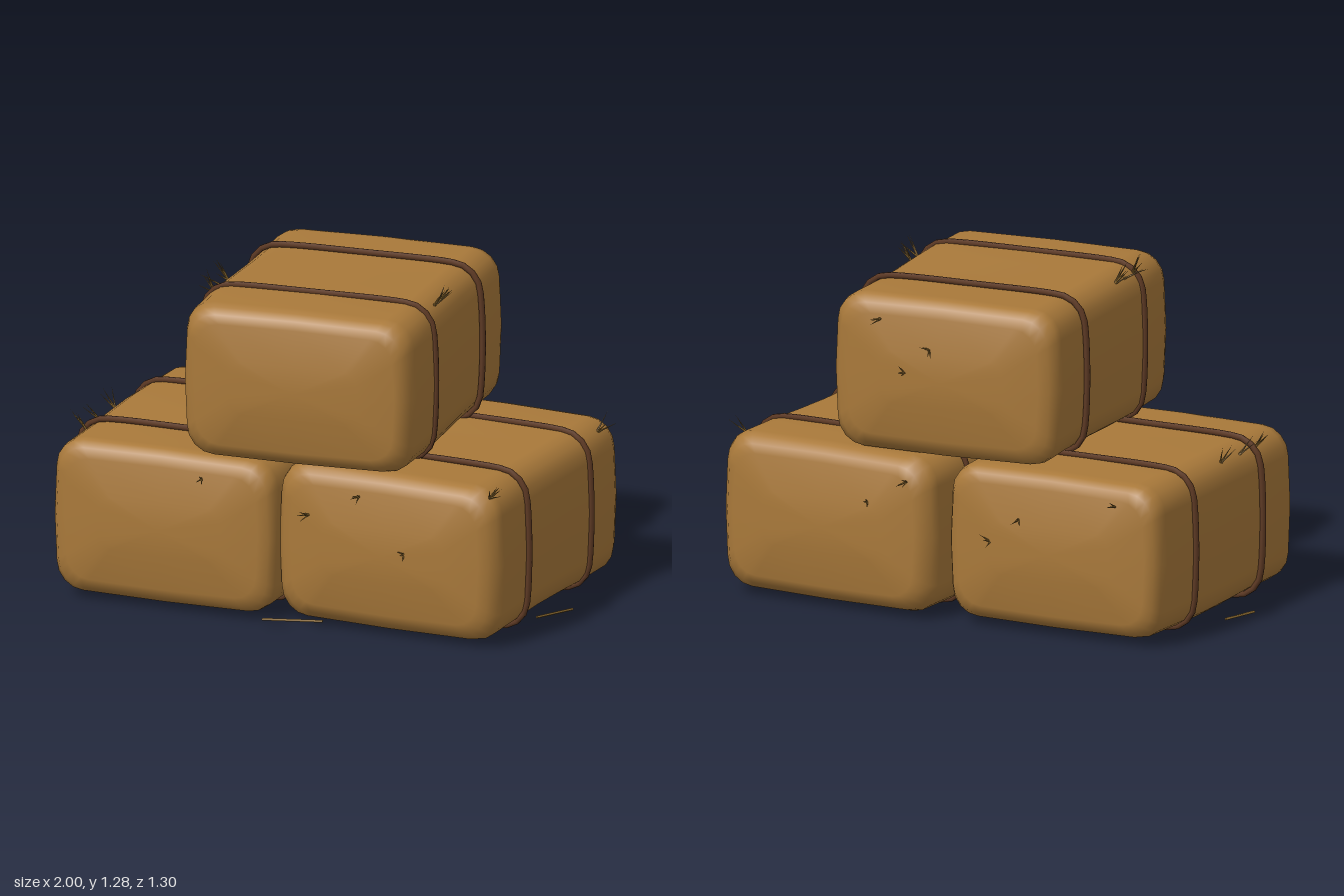
import * as THREE from 'three';

const hay = new THREE.MeshStandardMaterial({ color: 0xa9793a });
const twine = new THREE.MeshStandardMaterial({ color: 0x5c3822 });
const straw = new THREE.MeshStandardMaterial({ color: 0x8c6a30 });

let seed = 7;
const rand = () => (seed = (seed * 16807) % 2147483647) / 2147483647;

// Rounded rectangle, counter-clockwise, with sides that swell slightly
function section(hw, hh, r) {
  const pts = [];
  for (let q = 0; q < 4; q++) {
    const sx = q === 0 || q === 3 ? 1 : -1, sy = q < 2 ? 1 : -1;
    for (let k = 0; k <= 4; k++) {
      const a = (q + k / 4) * Math.PI / 2;
      pts.push(new THREE.Vector2(sx * (hw - r) + r * Math.cos(a), sy * (hh - r) + r * Math.sin(a)));
    }
    const m = (q + 1) * Math.PI / 2;
    pts.push(new THREE.Vector2(Math.cos(m) * (hw + 0.008), Math.sin(m) * (hh + 0.004)));
  }
  return pts;
}

// Bale body: sections lofted along z, closed by bulging ends
function baleGeometry(hw, hh, hl, phase) {
  const insets = [0.2, 0.065, 0.03, 0.007, 0];
  const depths = [0.012, 0.03, 0.045, 0.075, 0.11];
  const front = insets.map((inset, i) => ({ z: hl - depths[i], inset }));
  const middle = [-0.27, -0.1, 0.1, 0.27].map(z => ({ z, inset: 0 }));
  const rings = [...front.map(({ z, inset }) => ({ z: -z, inset })), ...middle, ...front.reverse()];
  const pos = [], idx = [];
  let n = 0;
  rings.forEach(({ z, inset }, i) => {
    const pts = section(hw - inset, hh - inset, 0.11 - inset * 0.3);
    n = pts.length;
    const wave = 1 + 0.01 * Math.sin(i * 1.3 + phase);
    pts.forEach(p => pos.push(p.x * wave, p.y * wave, z));
    if (i === 0) return;
    for (let j = 0; j < n; j++) {
      const a = (i - 1) * n + j, b = (i - 1) * n + (j + 1) % n;
      idx.push(a, b, a + n, b, b + n, a + n);
    }
  });
  const back = rings.length * n, last = back - n;
  pos.push(0, 0, -hl, 0, 0, hl);
  for (let j = 0; j < n; j++) {
    const k = (j + 1) % n;
    idx.push(back, k, j, back + 1, last + j, last + k);
  }
  const g = new THREE.BufferGeometry();
  g.setAttribute('position', new THREE.Float32BufferAttribute(pos, 3));
  g.setIndex(idx);
  g.computeVertexNormals();
  return g;
}

// Small fan of thin pointed blades around a direction
const up = new THREE.Vector3(0, 1, 0);
const blade = new THREE.ConeGeometry(0.0045, 1, 4).translate(0, 0.5, 0);
function makeTuft(x, y, z, dir, length) {
  const tuft = new THREE.Group();
  tuft.name = 'strawTuft';
  const count = 3 + Math.floor(rand() * 4);
  for (let i = 0; i < count; i++) {
    const spread = new THREE.Vector3(rand() - 0.5, rand() - 0.5, rand() - 0.5);
    const d = dir.clone().normalize().addScaledVector(spread, 0.9).normalize();
    const m = new THREE.Mesh(blade, straw);
    m.name = 'strawBlade';
    m.quaternion.setFromUnitVectors(up, d);
    m.scale.y = length * (0.75 + 0.5 * rand());
    tuft.add(m);
  }
  tuft.position.set(x, y, z);
  return tuft;
}

// Bale with two twine loops and straw tufts, placed in the bale's own frame:
// leftZ / rightZ lie along the upper long edges, frontX / backX across the ends
function makeBale({ name, at, turn, half, phase, leftZ, rightZ, frontX, backX }) {
  const [hw, hh, hl] = half;
  const bale = new THREE.Group();
  bale.name = name;
  const body = new THREE.Mesh(baleGeometry(hw, hh, hl, phase), hay);
  body.name = 'baleBody';
  bale.add(body);
  for (const z of [-0.265, 0.27]) {
    const pts = section(hw + 0.007, hh + 0.007, 0.115).map(p => new THREE.Vector3(p.x, p.y, z));
    const loop = new THREE.CatmullRomCurve3(pts, true);
    const mesh = new THREE.Mesh(new THREE.TubeGeometry(loop, 64, 0.012, 6, true), twine);
    mesh.name = 'twineLoop';
    bale.add(mesh);
  }
  const edge = (side, zs) => zs.forEach(z =>
    bale.add(makeTuft(side * (hw - 0.035), hh - 0.035, z, new THREE.Vector3(side * 0.7, 0.9, 0), 0.08)));
  edge(1, leftZ);
  edge(-1, rightZ);
  const end = (side, xs) => xs.forEach((x, i) =>
    bale.add(makeTuft(x, 0.22 - (i % 3) * 0.1, side * (hl - 0.02), new THREE.Vector3(0, 0.15, side), 0.055)));
  end(1, frontX);
  end(-1, backX);
  bale.position.set(...at);
  bale.rotation.y = turn;
  return bale;
}

// Loose stalk lying on the ground
function makeStalk(x, z, length, angle) {
  const m = new THREE.Mesh(new THREE.CylinderGeometry(0.005, 0.005, length, 5), straw);
  m.name = 'looseStalk';
  m.position.set(x, 0.033, z);
  m.quaternion.setFromUnitVectors(up, new THREE.Vector3(Math.cos(angle), 0, -Math.sin(angle)));
  return m;
}

export function createModel() {
  const model = new THREE.Group();
  model.name = 'hayBaleStack';
  model.add(
    makeBale({
      name: 'lowerRightBale', at: [-0.455, 0.33, 0], turn: 0.022, half: [0.45, 0.302, 0.585], phase: 0,
      leftZ: [], rightZ: [0.02, 0.17, 0.3], frontX: [0.17], backX: [-0.28, 0.13, 0.25],
    }),
    makeBale({
      name: 'lowerLeftBale', at: [0.472, 0.33, -0.045], turn: -0.025, half: [0.452, 0.302, 0.588], phase: 2,
      leftZ: [-0.41, 0.51], rightZ: [], frontX: [-0.1, -0.31, 0.09], backX: [-0.37, -0.2],
    }),
    makeBale({
      name: 'upperBale', at: [0.055, 0.937, 0.005], turn: 0.093, half: [0.452, 0.3, 0.583], phase: 4,
      leftZ: [0.1, 0.16], rightZ: [0.1, 0.17, 0.26], frontX: [], backX: [0.25, 0.05, 0.15],
    }),
    makeStalk(-0.98, -0.015, 0.155, 1.31),
    makeStalk(0.95, 0.045, 0.17, 1.08),
    makeStalk(0.09, 0.535, 0.23, 0.31),
  );
  return model;
}
